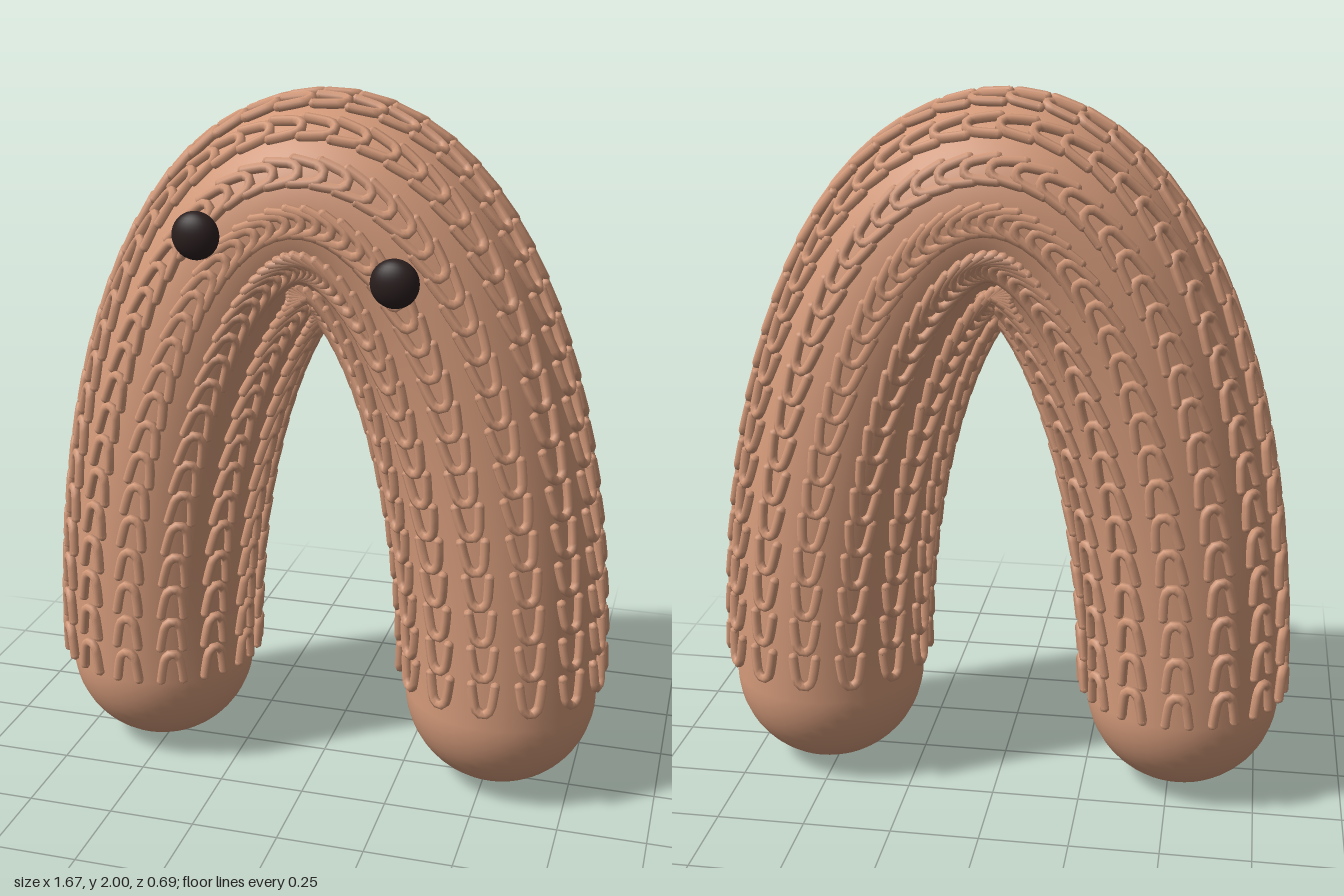
import * as THREE from 'three';
import { mergeGeometries } from 'three/addons/utils/BufferGeometryUtils.js';

const HALF_SPAN = 0.53, RISE = 1.41, BASE = 0.28, RADIUS = 0.28, DEPTH = -0.035;
const ROWS = 40, COLUMNS = 14, WIRE = 0.014;

// Half-ellipse centre line, from the right foot over the top to the left foot
class Arch extends THREE.Curve {
  getPoint(t, target = new THREE.Vector3()) {
    const a = t * Math.PI;
    return target.set(-HALF_SPAN * Math.cos(a), BASE + RISE * Math.sin(a), DEPTH);
  }
}

// One U-shaped knit loop lying in the xy plane, closed end towards +x
function loopGeometry() {
  const points = [[-0.05, 0.033], [-0.005, 0.027], [0.026, 0.019], [0.038, 0],
    [0.026, -0.019], [-0.005, -0.027], [-0.05, -0.033]]
    .map(([x, y]) => new THREE.Vector3(x, y, x * 0.05));
  const parts = [new THREE.TubeGeometry(new THREE.CatmullRomCurve3(points), 13, WIRE, 6)];
  for (const p of [points[0], points[points.length - 1]]) {
    const tip = new THREE.SphereGeometry(WIRE, 6, 4);
    tip.translate(p.x, p.y, p.z);
    parts.push(tip);
  }
  return mergeGeometries(parts);
}

// All loops of one column, following the arch at a fixed angle around the tube
function columnGeometry(loop, around) {
  const parts = [];
  for (let row = 0; row < ROWS; row++) {
    const a = 0.05 + (row / (ROWS - 1)) * (Math.PI - 0.12);
    const along = new THREE.Vector3(HALF_SPAN * Math.sin(a), RISE * Math.cos(a), 0).normalize();
    const outward = new THREE.Vector3(-along.y, along.x, 0).multiplyScalar(Math.cos(around));
    outward.z = Math.sin(around);
    const across = new THREE.Vector3().crossVectors(outward, along);
    const place = new THREE.Matrix4().makeBasis(along, across, outward);
    place.setPosition(new Arch().getPoint(a / Math.PI).addScaledVector(outward, RADIUS + 0.016));
    parts.push(loop.clone().applyMatrix4(place));
  }
  return mergeGeometries(parts);
}

export function createModel() {
  const group = new THREE.Group();
  group.name = 'knittedArch';
  const wool = new THREE.MeshStandardMaterial({ color: 0xd49a7a });
  wool.name = 'tan wool';
  const dark = new THREE.MeshStandardMaterial({ color: 0x2a1e1e });
  dark.name = 'dark brown';

  const add = (name, geometry, material, x = 0, y = 0, z = 0) => {
    const mesh = new THREE.Mesh(geometry, material);
    mesh.name = name;
    mesh.position.set(x, y, z);
    group.add(mesh);
    return mesh;
  };

  // Bent tube body with round feet
  add('body', new THREE.TubeGeometry(new Arch(), 120, RADIUS, 40), wool);
  const foot = new THREE.SphereGeometry(RADIUS, 40, 28);
  add('leftFoot', foot, wool, HALF_SPAN, BASE, DEPTH);
  add('rightFoot', foot, wool, -HALF_SPAN, BASE, DEPTH);

  // Columns of knit loops around the tube
  const loop = loopGeometry();
  for (let i = 0; i < COLUMNS; i++) {
    add('stitchColumn' + (i + 1), columnGeometry(loop, ((i + 0.5) / COLUMNS) * Math.PI * 2), wool);
  }

  // Flattened button eyes
  const eye = new THREE.SphereGeometry(0.065, 28, 18).scale(1, 1, 0.62);
  add('rightEye', eye, dark, -0.27, 1.65, 0.29);
  add('leftEye', eye, dark, 0.27, 1.56, 0.305);
  return group;
}
